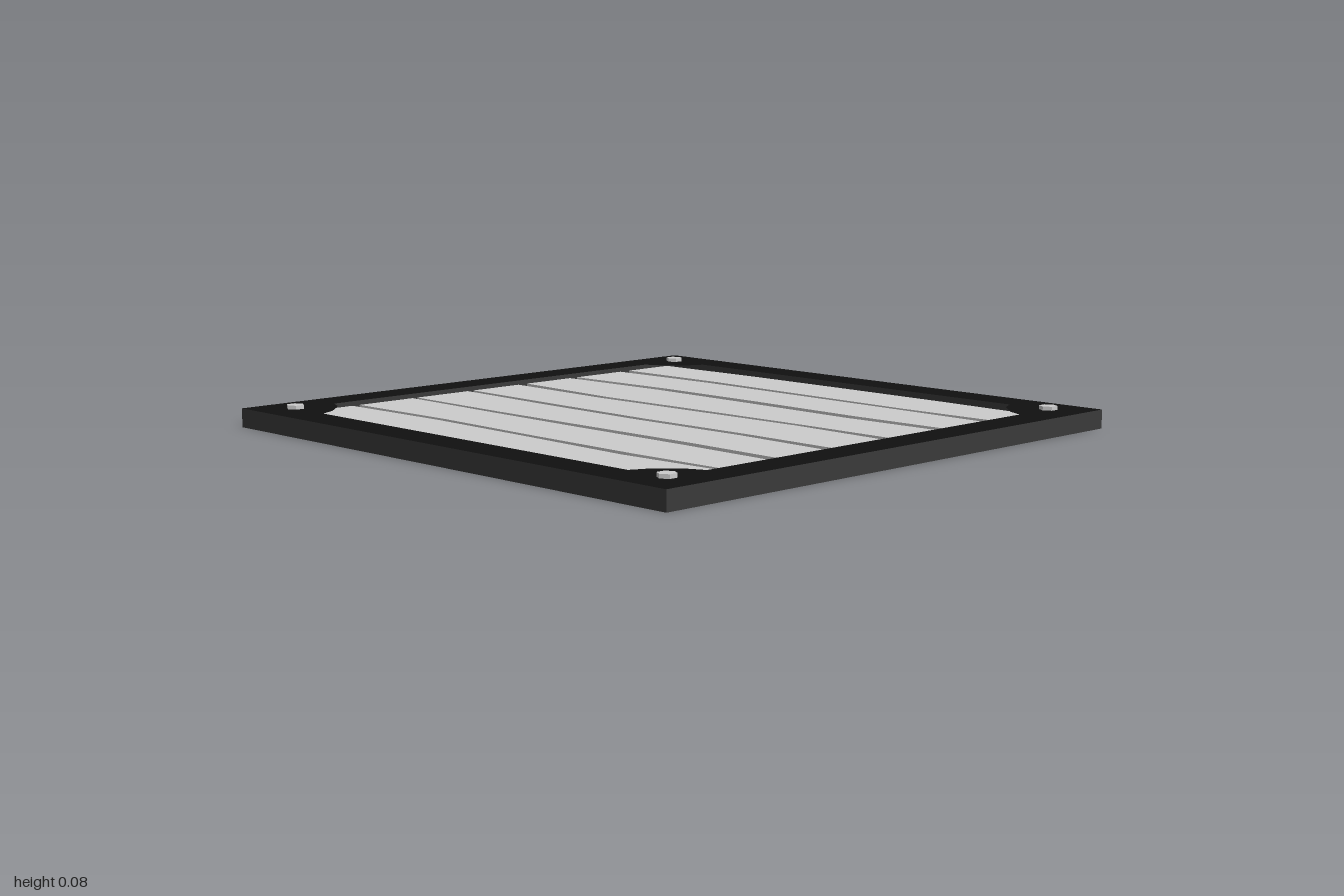
import * as THREE from 'three';

const TOP = 0.063;      // top of the frame
const INNER = 0.875;    // half width of the opening, also the bolt position
const PANEL = 0.89;     // half width of the panel under the frame
const PLANK_TOP = 0.045;

const grey = new THREE.MeshStandardMaterial({ color: 0xcccccc, flatShading: true });
const black = new THREE.MeshStandardMaterial({ color: 0x101010, side: THREE.DoubleSide });
const darkGrey = new THREE.MeshStandardMaterial({ color: 0x3a3a3a, side: THREE.DoubleSide, flatShading: true });

function addMesh(parent, name, geometry, material) {
  const mesh = new THREE.Mesh(geometry, material);
  mesh.name = name;
  parent.add(mesh);
  return mesh;
}

// Flat square lip whose opening is cut back around each corner bolt
function lipGeometry() {
  const shape = new THREE.Shape();
  shape.moveTo(-1, -1).lineTo(1, -1).lineTo(1, 1).lineTo(-1, 1).closePath();
  const corner = [[0, -0.155], [-0.055, -0.13], [-0.13, -0.055], [-0.155, 0]];
  const points = [];
  for (let i = 0; i < 4; i++) {
    for (const [dx, dy] of corner) {
      points.push(new THREE.Vector2(INNER + dx, INNER + dy)
        .rotateAround(new THREE.Vector2(), i * Math.PI / 2));
    }
  }
  shape.holes.push(new THREE.Path(points.reverse()));
  return new THREE.ShapeGeometry(shape).rotateX(-Math.PI / 2).translate(0, TOP, 0);
}

// Plank with wavy long sides, given by the x of each side from back to front
function plankGeometry(left, right) {
  const at = (x, i) => new THREE.Vector2(x, PANEL - i * PANEL / 2);
  const outline = [...left.map(at), ...right.map(at).reverse()];
  return new THREE.ExtrudeGeometry(new THREE.Shape(outline), { depth: PLANK_TOP - 0.01, bevelEnabled: false })
    .rotateX(-Math.PI / 2).translate(0, 0.01, 0);
}

export function createModel() {
  const model = new THREE.Group();
  model.name = 'floorPanel';

  // Frame: thin lip and skirt, open underneath
  const frame = new THREE.Group();
  frame.name = 'frame';
  model.add(frame);
  addMesh(frame, 'frameLip', lipGeometry(), black);
  const skirt = new THREE.CylinderGeometry(Math.SQRT2, Math.SQRT2, TOP, 4, 1, true, Math.PI / 4);
  addMesh(frame, 'frameSkirt', skirt.translate(0, TOP / 2, 0), darkGrey);

  // Base plate below the planks
  addMesh(model, 'basePlate', new THREE.BoxGeometry(2 * PANEL, 0.01, 2 * PANEL).translate(0, 0.005, 0), grey);

  // Planks: pairs of wavy sides
  const sides = [
    [[-0.83, -0.825, -0.83, -0.84, -0.84], [-0.635, -0.62, -0.63, -0.645, -0.62]],
    [[-0.605, -0.593, -0.605, -0.61, -0.6], [-0.38, -0.39, -0.395, -0.395, -0.405]],
    [[-0.36, -0.365, -0.36, -0.355, -0.365], [-0.135, -0.15, -0.155, -0.145, -0.16]],
    [[-0.11, -0.12, -0.125, -0.115, -0.12], [0.1, 0.09, 0.105, 0.12, 0.105]],
    [[0.14, 0.12, 0.135, 0.145, 0.145], [0.35, 0.37, 0.365, 0.355, 0.37]],
    [[0.385, 0.41, 0.41, 0.4, 0.41], [0.605, 0.625, 0.62, 0.615, 0.605]],
    [[0.65, 0.66, 0.65, 0.64, 0.65], [0.85, 0.865, 0.865, 0.86, 0.845]],
  ];
  sides.forEach(([left, right], i) => addMesh(model, `plank${i + 1}`, plankGeometry(left, right), grey));

  // Hexagonal corner bolts
  const boltGeometry = new THREE.CylinderGeometry(0.03, 0.03, 0.02, 6).rotateY(Math.PI / 2);
  for (const x of [-INNER, INNER]) {
    for (const z of [-INNER, INNER]) {
      addMesh(model, 'cornerBolt', boltGeometry, grey).position.set(x, 0.066, z);
    }
  }
  return model;
}
